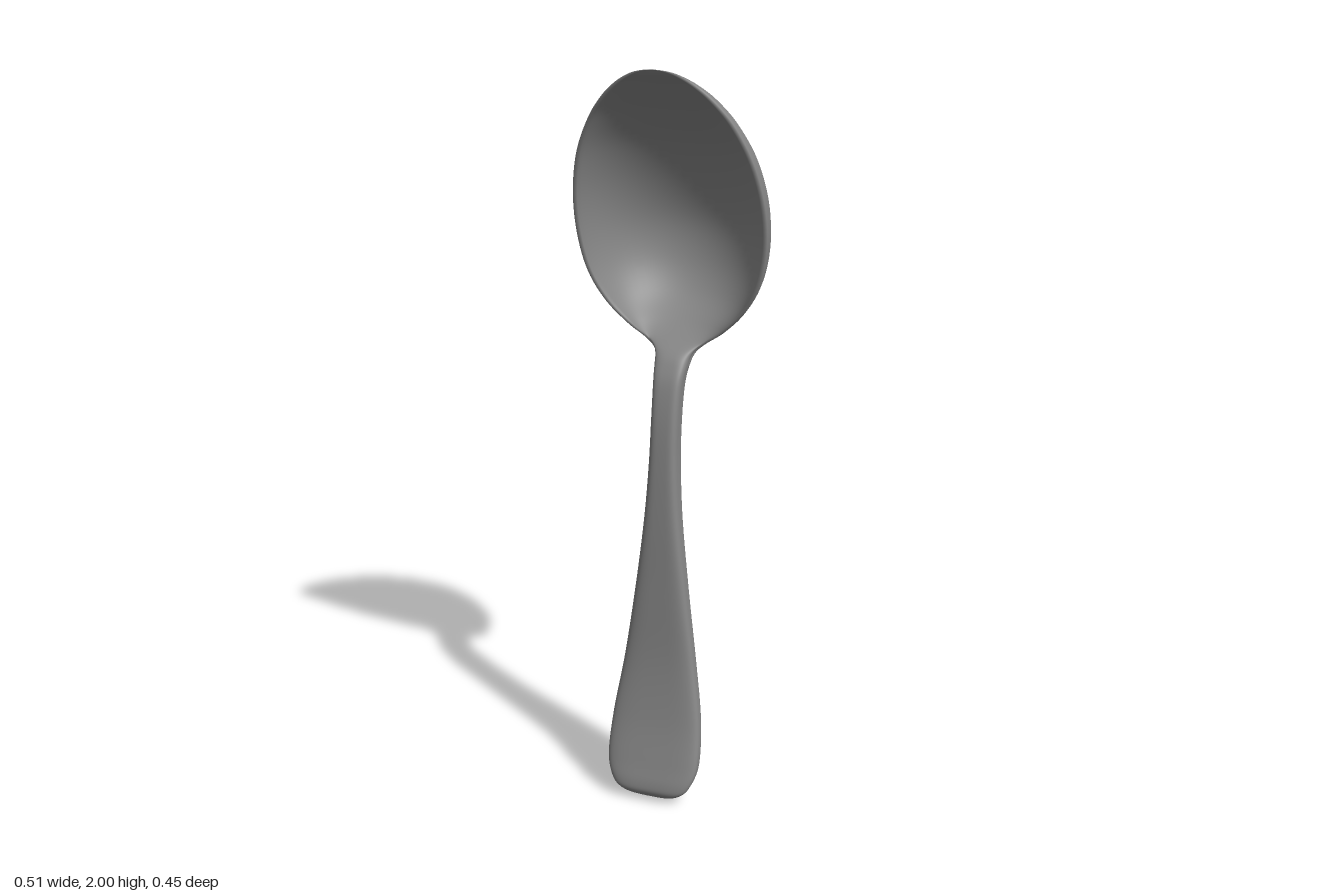
import * as THREE from 'three';

// Cross-sections from handle end to bowl tip:
// [height, half width, z of side edge, z of front centre, z of back centre]
const sections = [
  [0, 0, 0.178, 0.18, 0.176],
  [0.008, 0.045, 0.188, 0.2, 0.168],
  [0.03, 0.088, 0.195, 0.221, 0.156],
  [0.06, 0.114, 0.188, 0.221, 0.143],
  [0.12, 0.13, 0.17, 0.203, 0.122],
  [0.24, 0.124, 0.14, 0.171, 0.092],
  [0.4, 0.1, 0.112, 0.145, 0.069],
  [0.6, 0.073, 0.097, 0.132, 0.053],
  [0.8, 0.05, 0.085, 0.122, 0.04],
  [0.96, 0.039, 0.072, 0.11, 0.025],
  [1.08, 0.037, 0.057, 0.095, 0.01],
  [1.17, 0.039, 0.037, 0.073, -0.01],
  [1.22, 0.045, 0.01, 0.048, -0.037],
  [1.25, 0.057, -0.01, 0.022, -0.066],
  [1.275, 0.085, -0.017, -0.02, -0.105],
  [1.31, 0.133, -0.013, -0.075, -0.152],
  [1.37, 0.19, -0.002, -0.145, -0.193],
  [1.45, 0.233, 0.012, -0.187, -0.217],
  [1.55, 0.254, 0.028, -0.198, -0.223],
  [1.66, 0.254, 0.05, -0.168, -0.195],
  [1.77, 0.232, 0.077, -0.108, -0.137],
  [1.86, 0.192, 0.1, -0.027, -0.062],
  [1.92, 0.149, 0.121, 0.045, 0.0],
  [1.96, 0.107, 0.137, 0.1, 0.06],
  [1.985, 0.067, 0.149, 0.139, 0.108],
  [1.996, 0.035, 0.155, 0.152, 0.138],
  [2, 0, 0.158, 0.158, 0.156],
];

const ROWS = 156, HALF = 28;

function loftSpoon() {
  const edge = new THREE.CatmullRomCurve3(
    sections.map(([y, w, side]) => new THREE.Vector3(w, y, side)), false, 'catmullrom', 0.5);
  const faces = new THREE.CatmullRomCurve3(
    sections.map(([y, , , front, back]) => new THREE.Vector3(front, y, back)), false, 'catmullrom', 0.5);
  const positions = [], index = [];
  const ring = 2 * (HALF + 1);

  for (let i = 0; i <= ROWS; i++) {
    const { x: width, y, z: side } = edge.getPoint(i / ROWS);
    const { x: front, z: back } = faces.getPoint(i / ROWS);
    const w = Math.max(width, 0);
    // 0 on the handle, 1 on the bowl
    const bowl = THREE.MathUtils.smoothstep(y, 1.2, 1.32);
    const lip = Math.min(0.012, w * 0.3) * bowl;
    // the handle has squarer edges than the bowl
    const backPower = THREE.MathUtils.lerp(0.8, 1, bowl);
    const frontPower = THREE.MathUtils.lerp(0.5, 1, bowl);
    const half = (start, halfWidth, depth, power) => {
      for (let j = 0; j <= HALF; j++) {
        const a = start + Math.PI * j / HALF;
        const c = Math.cos(a), s = Math.abs(Math.sin(a));
        positions.push(
          halfWidth * Math.sign(c) * Math.abs(c) ** power,
          y,
          side + (depth - side) * s ** power);
      }
    };
    half(0, w, back, backPower);
    half(Math.PI, w - lip, front, frontPower);
  }

  for (let i = 0; i < ROWS; i++) {
    for (let j = 0; j < ring; j++) {
      const k = (j + 1) % ring;
      const a = i * ring + j, b = i * ring + k;
      const c = b + ring, d = a + ring;
      index.push(a, b, c, a, c, d);
    }
  }
  const geometry = new THREE.BufferGeometry();
  geometry.setAttribute('position', new THREE.Float32BufferAttribute(positions, 3));
  geometry.setIndex(index);
  geometry.computeVertexNormals();
  return geometry;
}

export function createModel() {
  const group = new THREE.Group();
  group.name = 'spoon';
  const steel = new THREE.MeshStandardMaterial({ color: 0x868686 });
  steel.name = 'steel grey';
  steel.side = THREE.DoubleSide;

  // Bowl, neck and handle are one continuous surface
  const body = new THREE.Mesh(loftSpoon(), steel);
  body.name = 'bowlAndHandle';
  group.add(body);
  return group;
}
